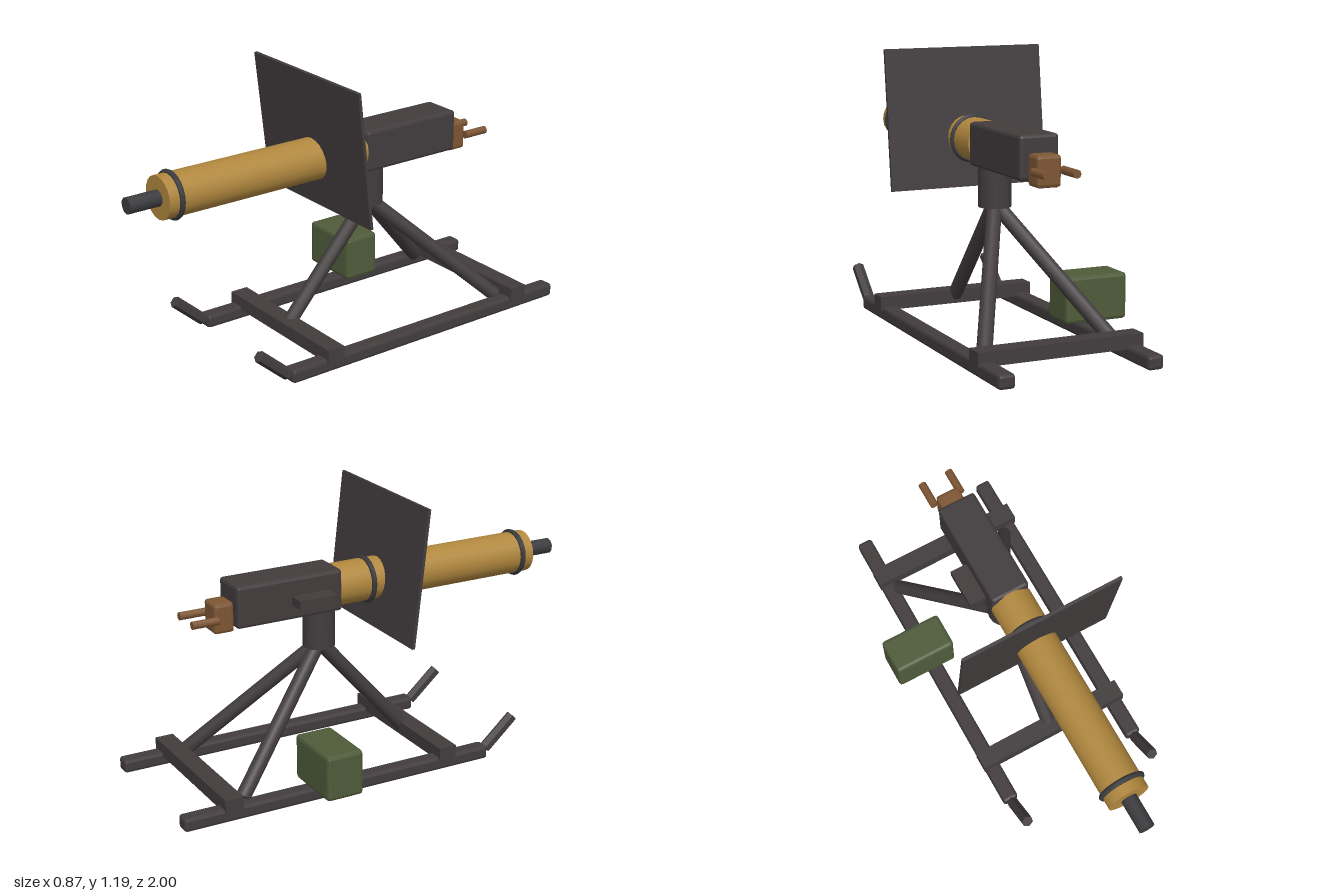
import * as THREE from 'three';
import { RoundedBoxGeometry } from 'three/addons/geometries/RoundedBoxGeometry.js';

export function createModel() {
  const model = new THREE.Group();
  model.name = 'mountedGun';

  const mat = (name, color) => {
    const m = new THREE.MeshStandardMaterial({ color });
    m.name = name;
    return m;
  };
  const steel = mat('dark steel', 0x423c3d);
  const gunmetal = mat('gunmetal', 0x3b3a3d);
  const brass = mat('brass', 0xb0873e);
  const wood = mat('brown wood', 0x7d5634);
  const olive = mat('olive green', 0x4f5b3a);

  const CX = 0.0715, AXIS_Y = 0.807;

  function add(name, geometry, material, x, y, z) {
    const mesh = new THREE.Mesh(geometry, material);
    mesh.name = name;
    mesh.position.set(x, y, z);
    model.add(mesh);
    return mesh;
  }

  // Box given by its extents, with optional chamfered edges
  function box(name, material, [x0, x1], [y0, y1], [z0, z1], bevel = 0) {
    const size = [x1 - x0, y1 - y0, z1 - z0];
    const g = bevel ? new RoundedBoxGeometry(...size, 1, bevel) : new THREE.BoxGeometry(...size);
    if (bevel) g.computeVertexNormals();
    return add(name, g, material, (x0 + x1) / 2, (y0 + y1) / 2, (z0 + z1) / 2);
  }

  // Round bar between two points
  function rod(name, material, from, to, radius, sides, flat = false) {
    const a = new THREE.Vector3(...from), b = new THREE.Vector3(...to);
    const dir = b.clone().sub(a);
    let g = new THREE.CylinderGeometry(radius, radius, dir.length(), sides);
    if (flat) {
      g = g.toNonIndexed();
      g.computeVertexNormals();
    }
    const mid = a.add(b).multiplyScalar(0.5);
    const mesh = add(name, g, material, mid.x, mid.y, mid.z);
    mesh.quaternion.setFromUnitVectors(new THREE.Vector3(0, 1, 0), dir.normalize());
    return mesh;
  }

  // Sled: runners with upturned tips, joined by two crossbars
  for (const [side, s] of [['right', -1], ['left', 1]]) {
    const x = CX + s * 0.321;
    box(side + 'Runner', steel, [x - 0.035, x + 0.035], [0, 0.06], [-1, 0.455], 0.013);
    rod(side + 'RunnerTip', steel, [x, 0.037, 0.462], [x, 0.161, 0.603], 0.026, 6, true);
  }
  for (const [name, z] of [['frontCrossbar', 0.242], ['rearCrossbar', -0.782]]) {
    box(name, steel, [CX - 0.363, CX + 0.363], [0.045, 0.105], [z - 0.041, z + 0.041]);
  }

  // Tripod legs and pedestal
  const hub = [CX, 0.56, -0.195];
  rod('frontLeg', steel, hub, [CX, 0.06, 0.242], 0.032, 12);
  rod('rightRearLeg', steel, hub, [CX - 0.285, 0.06, -0.71], 0.032, 12);
  rod('leftRearLeg', steel, hub, [CX + 0.285, 0.06, -0.71], 0.032, 12);
  rod('pedestal', steel, [CX, 0.545, -0.195], [CX, 0.73, -0.195], 0.07, 16);

  // Barrel jacket, bands and muzzle
  rod('barrelJacket', brass, [CX, AXIS_Y, -0.13], [CX, AXIS_Y, 0.855], 0.093, 20);
  for (const z of [0.028, 0.798]) {
    add('jacketBand', new THREE.TorusGeometry(0.094, 0.012, 8, 24), gunmetal, CX, AXIS_Y, z);
  }
  rod('muzzle', gunmetal, [CX, AXIS_Y, 0.84], [CX, AXIS_Y, 1], 0.035, 10);

  // Receiver and feed block
  box('receiver', steel, [CX - 0.087, CX + 0.087], [0.715, 0.9], [-0.617, -0.125], 0.014);
  box('feedBlock', steel, [CX - 0.162, CX - 0.08], [0.78, 0.82], [-0.365, -0.19]);

  // Grip block and twin handles
  box('gripBlock', wood, [CX - 0.054, CX + 0.054], [0.697, 0.828], [-0.705, -0.615], 0.014);
  for (const s of [-1, 1]) {
    const x = CX + s * 0.065;
    rod('gripHandle', wood, [x, 0.764, -0.695], [x, 0.764, -0.812], 0.018, 8);
  }

  // Tilted shield
  const shield = add('shield', new THREE.BoxGeometry(0.726, 0.604, 0.014), steel, CX, 0.893, 0.097);
  shield.rotation.x = 0.118;

  // Ammunition box
  box('ammunitionBox', olive, [-0.437, -0.15], [0.062, 0.262], [-0.43, -0.262], 0.015);

  return model;
}
